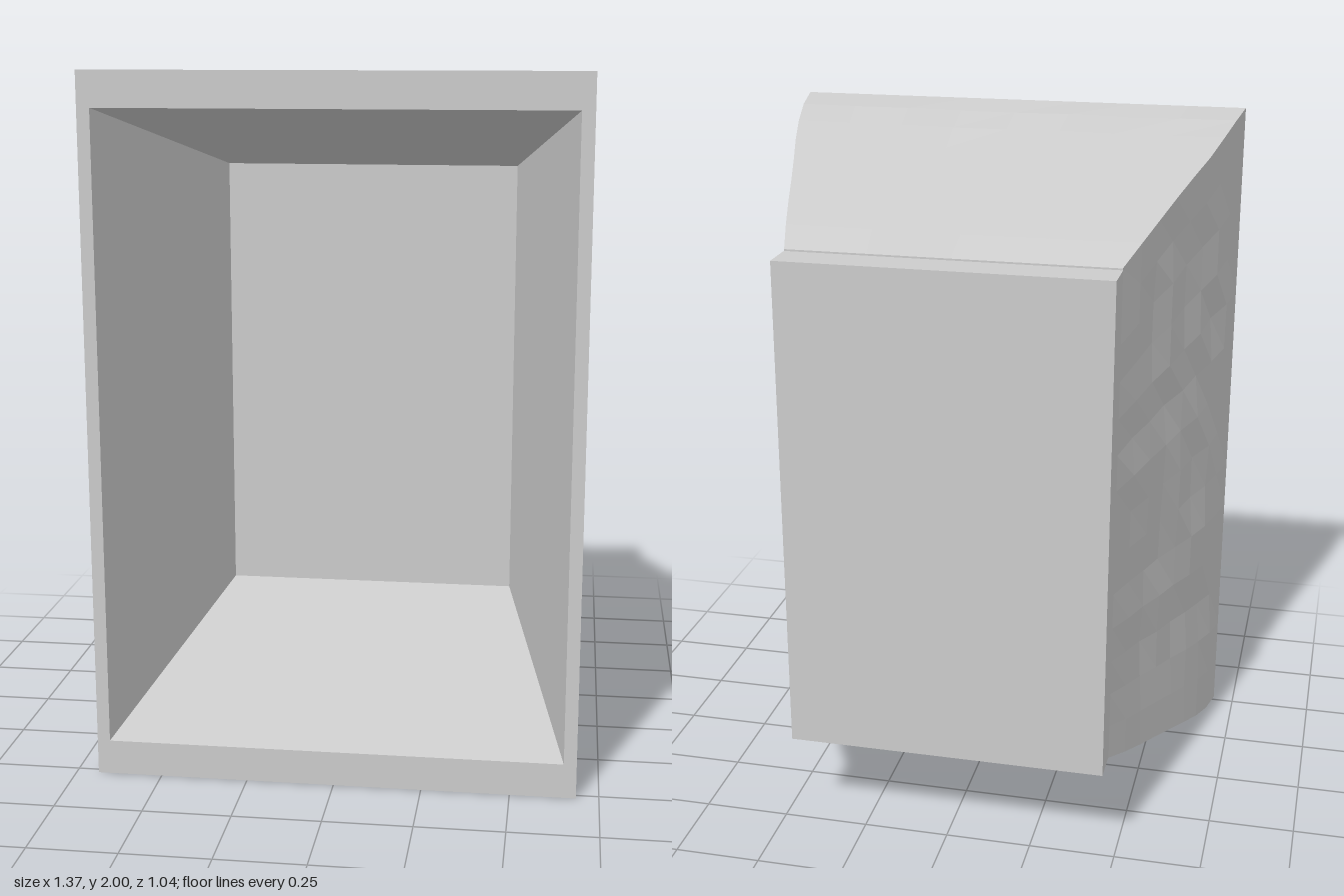
import * as THREE from 'three';

const FRONT = 0.52, BACK = -0.41, MID = 1.0;
// Outer profile, back to front: z, half width, half height
const PROFILE = [
  [-0.41, 0.462, 0.728], [-0.25, 0.508, 0.785], [0, 0.572, 0.862],
  [0.2, 0.628, 0.922], [0.36, 0.664, 0.975], [0.52, 0.686, 1.0],
];
const INNER = [[-0.39, 0.458, 0.688], [0.52, 0.65, 0.9]];
const CORNERS = [[1, -1], [1, 1], [-1, 1], [-1, -1]];

const lerp = THREE.MathUtils.lerp;

function seeded(seed) {
  return () => {
    seed = (seed * 16807) % 2147483647;
    return seed / 2147483647;
  };
}

function sample(profile, z) {
  let i = 0;
  while (i < profile.length - 2 && z > profile[i + 1][0]) i++;
  const [a, b] = [profile[i], profile[i + 1]];
  const t = (z - a[0]) / (b[0] - a[0]);
  return [lerp(a[1], b[1], t), lerp(a[2], b[2], t)];
}

// One tapered wall between two corners, optionally dented towards the inside
function wall(profile, from, to, nu, nv, dent, rand) {
  const geo = new THREE.PlaneGeometry(1, 1, nu, nv);
  const pos = geo.attributes.position;
  const z0 = profile[0][0];
  for (let i = 0; i < pos.count; i++) {
    const u = pos.getX(i) + 0.5, v = pos.getY(i) + 0.5;
    const z = lerp(z0, FRONT, v);
    const [w, h] = sample(profile, z);
    const fade = Math.min(1, 6 * u * (1 - u)) * Math.min(1, 6 * v * (1 - v));
    const push = dent * fade * rand();
    let x = lerp(from[0], to[0], u) * w;
    let y = lerp(from[1], to[1], u) * h;
    if (from[0] === to[0]) x -= from[0] * push;
    else y -= from[1] * push;
    pos.setXYZ(i, x, MID + y, z);
  }
  geo.computeVertexNormals();
  return geo;
}

// Flat rectangular frame
function frame(w, h, holeW, holeH) {
  const shape = new THREE.Shape(CORNERS.map(([x, y]) => new THREE.Vector2(x * w, y * h)));
  shape.holes.push(new THREE.Path(
    CORNERS.map(([x, y]) => new THREE.Vector2(x * holeW, y * holeH)).reverse()));
  return new THREE.ShapeGeometry(shape);
}

export function createModel() {
  const group = new THREE.Group();
  const material = new THREE.MeshStandardMaterial({ color: 0xcccccc, flatShading: true });
  const add = (name, geo) => {
    const mesh = new THREE.Mesh(geo, material);
    mesh.name = name;
    group.add(mesh);
    return mesh;
  };

  // Four worn outer walls and four smooth inner walls
  const names = ['left', 'top', 'right', 'bottom'];
  const rand = seeded(4711);
  names.forEach((name, i) => {
    const a = CORNERS[i], b = CORNERS[(i + 1) % 4];
    const isSide = i % 2 === 0;
    add(name + 'OuterWall', wall(PROFILE, a, b, isSide ? 14 : 8, 8, isSide ? 0.016 : 0.005, rand));
    add(name + 'InnerWall', wall(INNER, b, a, 1, 1, 0, rand));
  });

  // Front rim around the opening
  add('frontRim', frame(0.686, 1.0, 0.65, 0.9)).position.set(0, MID, FRONT);

  // Narrow rim where the hood meets the back plate
  const backRim = add('backRim', frame(0.462, 0.728, 0.44, 0.68));
  backRim.position.set(0, MID, BACK);
  backRim.rotation.y = Math.PI;

  // Solid back plate closing the hood
  add('backPlate', new THREE.BoxGeometry(0.926, 1.446, 0.11)).position.set(0, MID, -0.465);

  // Floor of the recess, just in front of the back plate
  add('recessBack', new THREE.PlaneGeometry(0.916, 1.376)).position.set(0, MID, -0.39);

  return group;
}
